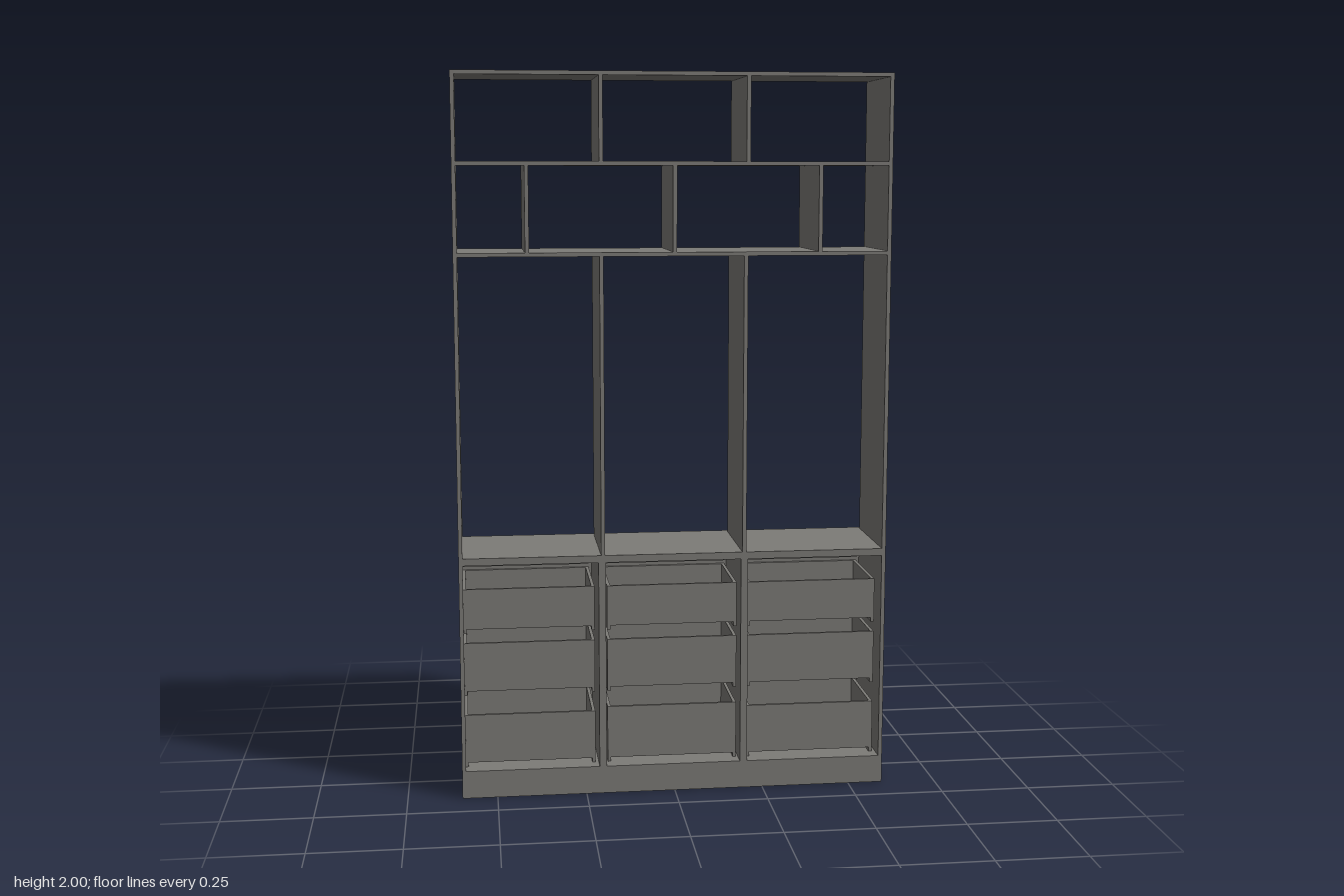
import * as THREE from 'three';

export function createModel() {
  const root = new THREE.Group();
  root.name = 'shelvingCabinet';
  const grey = new THREE.MeshStandardMaterial({ color: 0x7d7b77 });
  grey.name = 'warmGrey';

  // Board given by its lower and upper limits on each axis
  function board(name, x0, x1, y0, y1, z0, z1, parent = root) {
    const mesh = new THREE.Mesh(new THREE.BoxGeometry(x1 - x0, y1 - y0, z1 - z0), grey);
    mesh.position.set((x0 + x1) / 2, (y0 + y1) / 2, (z0 + z1) / 2);
    mesh.name = name;
    parent.add(mesh);
    return mesh;
  }

  const T = 0.011;             // board thickness
  const back = -0.135, front = 0.15;

  // Outer sides and top
  board('leftSide', 0.598 - T, 0.598, 0, 2, back, front);
  board('rightSide', -0.598, -0.598 + T, 0, 2, back, front);
  board('topBoard', -0.598 + T, 0.598 - T, 2 - T, 2, back, front);

  // Shelves and the worktop
  const inner = 0.598 - T;
  for (const y of [1.757, 1.514]) board('shelf', -inner, inner, y - T / 2, y + T / 2, back, front);
  board('worktop', -inner, inner, 0.665, 0.685, back, front);
  board('cabinetFloor', -inner, inner, 0.066, 0.078, back, front);

  // Staggered uprights of the open shelving
  const rows = [
    [1.7625, 2 - T, [-0.2, 0.2]],
    [1.5195, 1.7515, [-0.4, 0, 0.4]],
    [0.685, 1.5085, [-0.2, 0.195]],
  ];
  for (const [y0, y1, xs] of rows)
    for (const x of xs) board('upright', x - T / 2, x + T / 2, y0, y1, back, front);

  // Lower cabinet partitions
  for (const x of [-0.203, 0.196]) board('partition', x - 0.01, x + 0.01, 0.078, 0.665, back, front);

  // Open plinth frame with cross members
  board('plinthFront', -inner, inner, 0, 0.066, front - T, front);
  board('plinthBack', -inner, inner, 0, 0.066, -0.129, -0.129 + T);
  for (let i = 1; i < 6; i++) {
    const x = -0.598 + i * 1.196 / 6;
    board('plinthCrossMember', x - T / 2, x + T / 2, 0, 0.066, -0.129 + T, front - T);
  }

  // Open drawer box with a slightly raised bottom
  function drawer(x0, y0, y1) {
    const g = new THREE.Group();
    g.name = 'drawerBox';
    const x1 = x0 + 0.367, z0 = back, z1 = 0.11, t = 0.009;
    board('drawerSide', x0, x0 + t, y0 - 0.012, y1, z0, z1, g);
    board('drawerSide', x1 - t, x1, y0 - 0.012, y1, z0, z1, g);
    board('drawerEnd', x0 + t, x1 - t, y0, y1, z1 - t, z1, g);
    board('drawerEnd', x0 + t, x1 - t, y0, y1, z0, z0 + t, g);
    board('drawerBottom', x0 + t, x1 - t, y0, y0 + 0.006, z0 + t, z1 - t, g);
    root.add(g);
  }
  [-0.589, -0.187, 0.21].forEach((x, i) => {
    drawer(x, 0.475, 0.589);
    drawer(x, 0.297, 0.435);
    drawer(x, 0.09, i === 1 ? 0.239 : 0.228);
    board('backRail', x, x + 0.367, 0.6, 0.652, back, back + T);
  });

  // Front panels, three drawers on the outer columns and two in the middle
  const columns = [[-0.598, -0.2025], [-0.1985, 0.1975], [0.2005, 0.598]];
  columns.forEach(([x0, x1], i) => {
    const cuts = i === 1 ? [0.07, 0.459, 0.687] : [0.07, 0.264, 0.459, 0.687];
    for (let k = 0; k < cuts.length - 1; k++)
      board('drawerFront', x0, x1, cuts[k] + (k ? 0.002 : 0), cuts[k + 1] - 0.002, -0.15, back);
  });

  return root;
}
